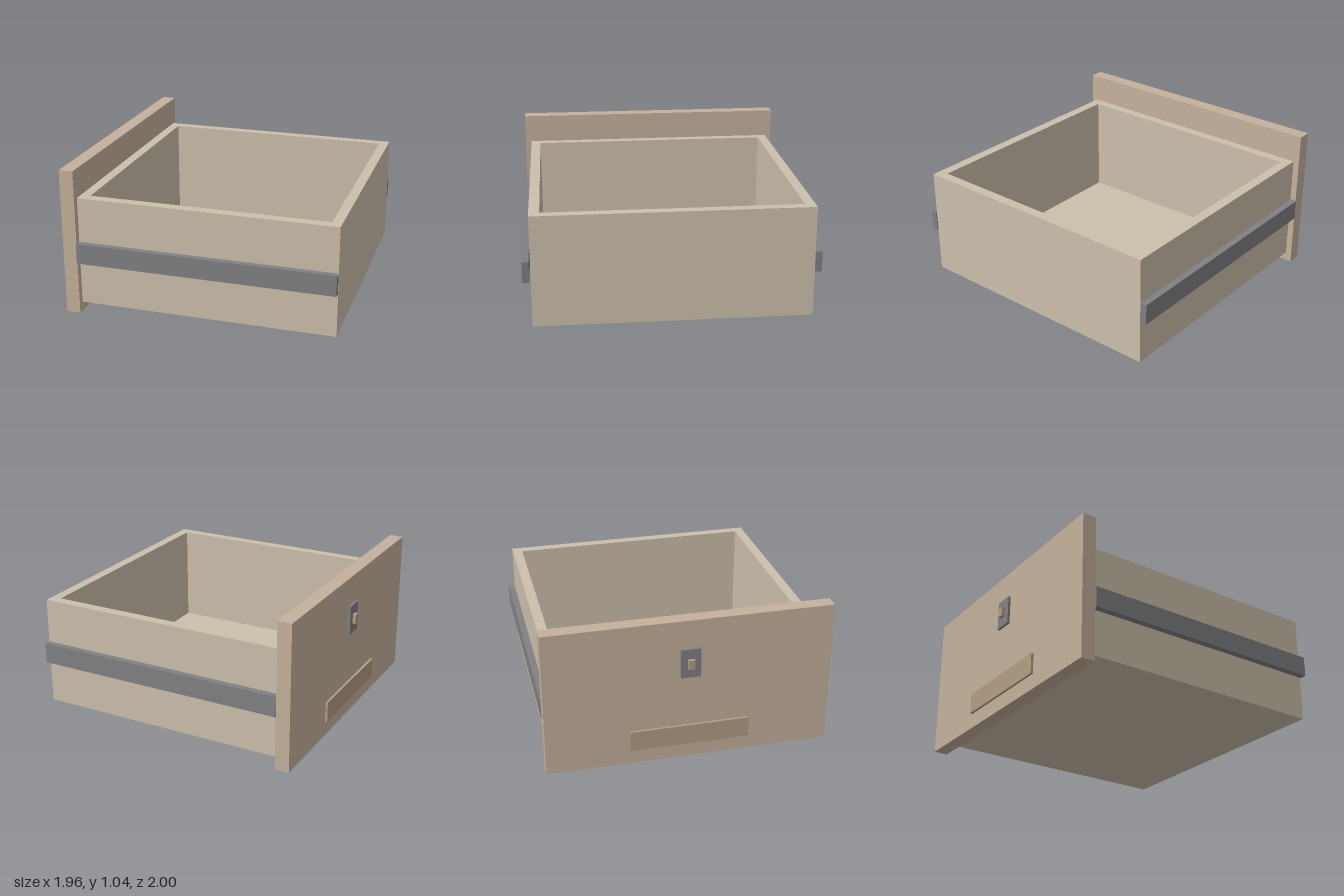
import * as THREE from 'three';

const mat = (color) => new THREE.MeshStandardMaterial({ color, side: THREE.FrontSide });
const tan = mat(0xccbfab), panelTan = mat(0xc4b19b), brown = mat(0xb39d84), grey = mat(0x808084);

// Box given by its extents along each axis
function block(name, material, [x0, x1], [y0, y1], [z0, z1]) {
  const mesh = new THREE.Mesh(new THREE.BoxGeometry(x1 - x0, y1 - y0, z1 - z0), material);
  mesh.position.set((x0 + x1) / 2, (y0 + y1) / 2, (z0 + z1) / 2);
  mesh.name = name;
  return mesh;
}

// Rectangle outline in the ground plane (shape y becomes -z)
function trace(path, x0, x1, z0, z1) {
  path.moveTo(x0, -z1);
  path.lineTo(x1, -z1);
  path.lineTo(x1, -z0);
  path.lineTo(x0, -z0);
  path.closePath();
  return path;
}

export function createModel() {
  const drawer = new THREE.Group();
  drawer.name = 'drawer';

  // Open-topped box: a wall ring around a thin floor
  const ring = trace(new THREE.Shape(), -0.84, 0.975, -0.951, 0.943);
  ring.holes.push(trace(new THREE.Path(), -0.77, 0.905, -0.88, 0.872));
  const walls = new THREE.Mesh(
    new THREE.ExtrudeGeometry(ring, { depth: 0.775, bevelEnabled: false }).rotateX(-Math.PI / 2), tan);
  walls.position.y = 0.065;
  walls.name = 'boxWalls';
  drawer.add(walls);
  drawer.add(block('boxFloor', tan, [-0.77, 0.905], [0.065, 0.115], [-0.88, 0.872]));

  // Tall face board
  drawer.add(block('frontPanel', panelTan, [-0.94, -0.84], [0, 1.045], [-0.996, 0.988]));

  // Slide rails on both sides
  for (const side of [1, -1]) {
    const rail = block(side > 0 ? 'leftRail' : 'rightRail', grey, [-0.84, 0.975], [0.38, 0.525], [-0.023, 0.023]);
    rail.position.z = side * 0.976;
    drawer.add(rail);
  }

  // Fittings on the face board
  drawer.add(block('lockPlate', grey, [-0.957, -0.94], [0.63, 0.84], [-0.073, 0.065]));
  drawer.add(block('latchKnob', brown, [-0.98, -0.957], [0.70, 0.768], [-0.027, 0.019]));
  drawer.add(block('pullStrip', brown, [-0.957, -0.94], [0.108, 0.255], [-0.42, 0.413]));
  return drawer;
}
